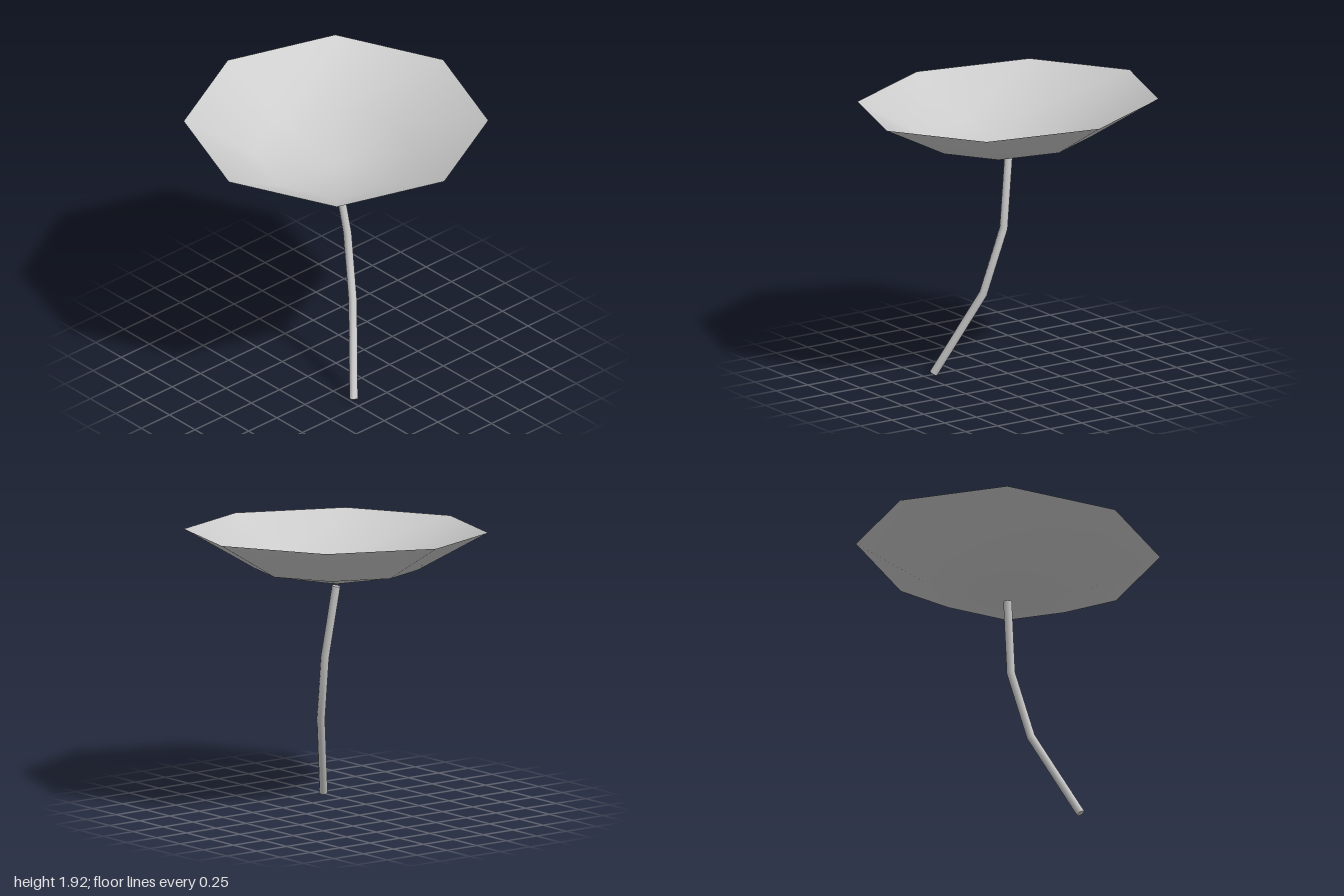
import * as THREE from 'three';
import { mergeVertices } from 'three/addons/utils/BufferGeometryUtils.js';

// Polyline sampled by control point, so tube joints are mitred at each bend
class StemPath extends THREE.Curve {
  constructor(points) {
    super();
    this.points = points;
  }
  getPoint(t, target = new THREE.Vector3()) {
    const n = this.points.length - 1;
    const i = Math.min(Math.floor(t * n + 1e-9), n - 1);
    return target.lerpVectors(this.points[i], this.points[i + 1], t * n - i);
  }
  getPointAt(t, target) { return this.getPoint(t, target); }
  getTangentAt(t, target) { return this.getTangent(t, target); }
}

export function createModel() {
  const model = new THREE.Group();
  const grey = new THREE.MeshStandardMaterial({ color: 0xcccccc, side: THREE.DoubleSide });
  grey.name = 'light grey';

  const add = (name, geometry) => {
    const mesh = new THREE.Mesh(geometry, grey);
    mesh.name = name;
    model.add(mesh);
    return mesh;
  };

  // Shallow eight-sided dish, slightly tilted, with shared smooth normals
  const profile = [[0, -0.355], [0.54, -0.255], [1.002, 0]].map(([r, y]) => new THREE.Vector2(r, y));
  let bowl = new THREE.LatheGeometry(profile, 8, 0.056);
  bowl.deleteAttribute('uv');
  bowl.deleteAttribute('normal');
  bowl = mergeVertices(bowl, 1e-4);
  bowl.computeVertexNormals();
  const dish = add('dish', bowl);
  const up = new THREE.Vector3(0, 1, 0);
  dish.quaternion.setFromUnitVectors(up, new THREE.Vector3(0.0375, 1, 0.033).normalize());
  dish.position.y = 1.87;

  // Bent stem, from the foot to just below the dish
  const radius = 0.028, sides = 8;
  const path = new StemPath([
    new THREE.Vector3(0.432, 0.014, 0.234),
    new THREE.Vector3(0.185, 0.57, 0.018),
    new THREE.Vector3(0.064, 1.015, -0.043),
    new THREE.Vector3(-0.003, 1.5, -0.001),
  ]);
  add('stem', new THREE.TubeGeometry(path, 3, radius, sides, false));

  // Caps at both stem ends
  [[0, -1, 'footCap'], [1, 1, 'topCap']].forEach(([t, sign, name]) => {
    const cap = add(name, new THREE.CircleGeometry(radius, sides));
    cap.position.copy(path.getPoint(t));
    const outward = path.getTangent(t).multiplyScalar(sign);
    cap.quaternion.setFromUnitVectors(new THREE.Vector3(0, 0, 1), outward);
  });

  return model;
}
